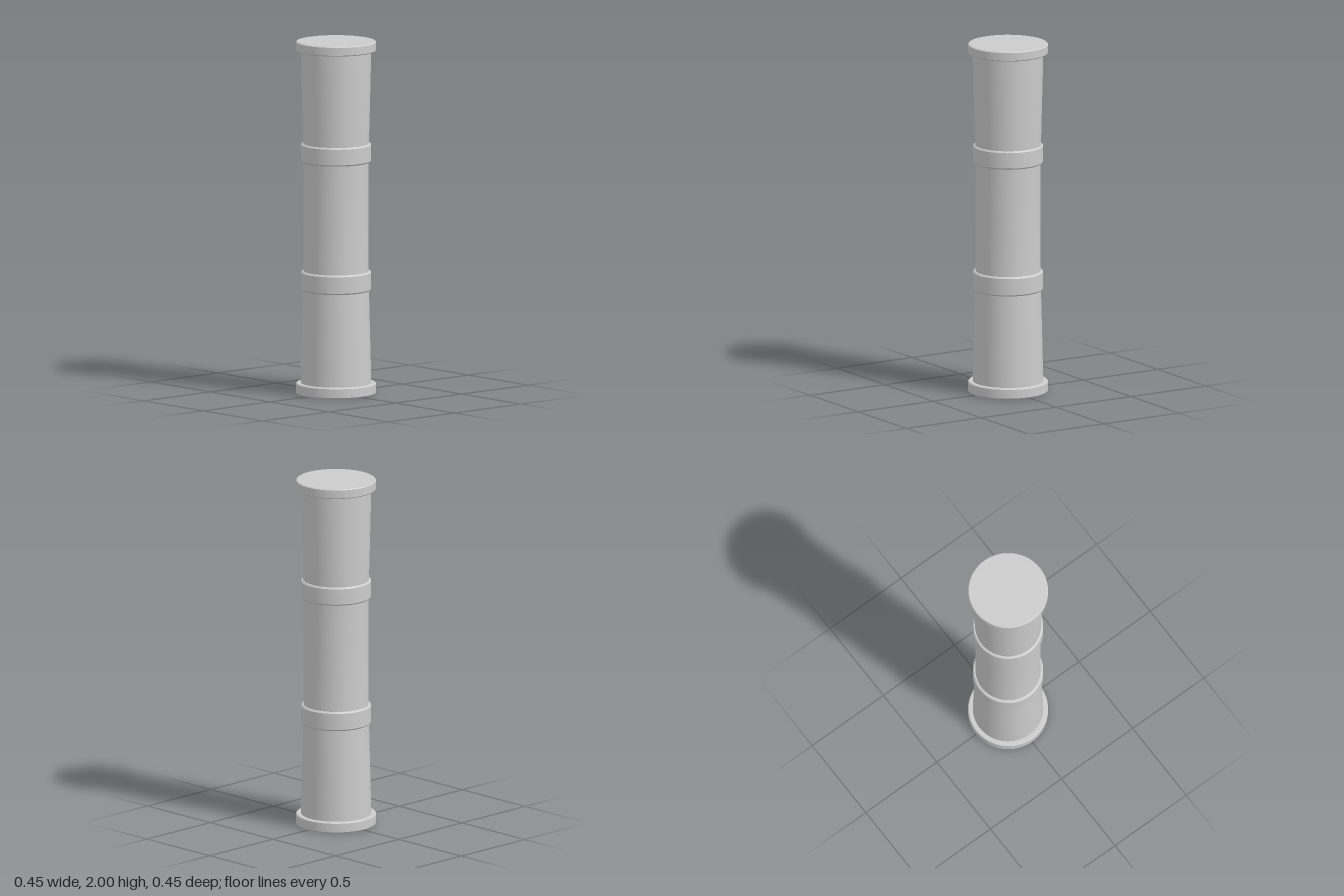
import * as THREE from 'three';
import { toCreasedNormals } from 'three/addons/utils/BufferGeometryUtils.js';

const SEGMENTS = 64;
const material = new THREE.MeshStandardMaterial({ color: 0xcccccc });

// Revolve a bottom-to-top profile of [radius, y] pairs, keeping its edges sharp.
function turned(name, profile) {
  const points = profile.map(([r, y]) => new THREE.Vector2(r, y));
  const geometry = toCreasedNormals(new THREE.LatheGeometry(points, SEGMENTS), Math.PI / 7);
  const mesh = new THREE.Mesh(geometry, material);
  mesh.name = name;
  return mesh;
}

// Disc or ring with slightly bevelled rims, from the inner radius outwards.
function collar(name, inner, radius, y0, y1, bevel) {
  return turned(name, [
    [inner, y0], [radius - bevel, y0], [radius, y0 + bevel],
    [radius, y1 - bevel], [radius - bevel, y1], [inner, y1],
  ]);
}

export function createModel() {
  const group = new THREE.Group();
  group.name = 'column';

  // Shaft: straight in the middle, flaring gently towards both ends
  group.add(turned('shaft', [
    [0.198, 0.05], [0.195, 0.2], [0.19, 0.4], [0.185, 0.6], [0.183, 0.65],
    [0.183, 1.36], [0.185, 1.41], [0.19, 1.6], [0.195, 1.8], [0.198, 1.95],
  ]));

  // End discs
  group.add(collar('base', 0, 0.225, 0, 0.06, 0.005));
  group.add(collar('cap', 0, 0.225, 1.945, 2, 0.005));

  // Bands around the shaft
  group.add(collar('lowerBand', 0.175, 0.198, 0.585, 0.695, 0.008));
  group.add(collar('upperBand', 0.175, 0.198, 1.315, 1.42, 0.008));

  return group;
}
